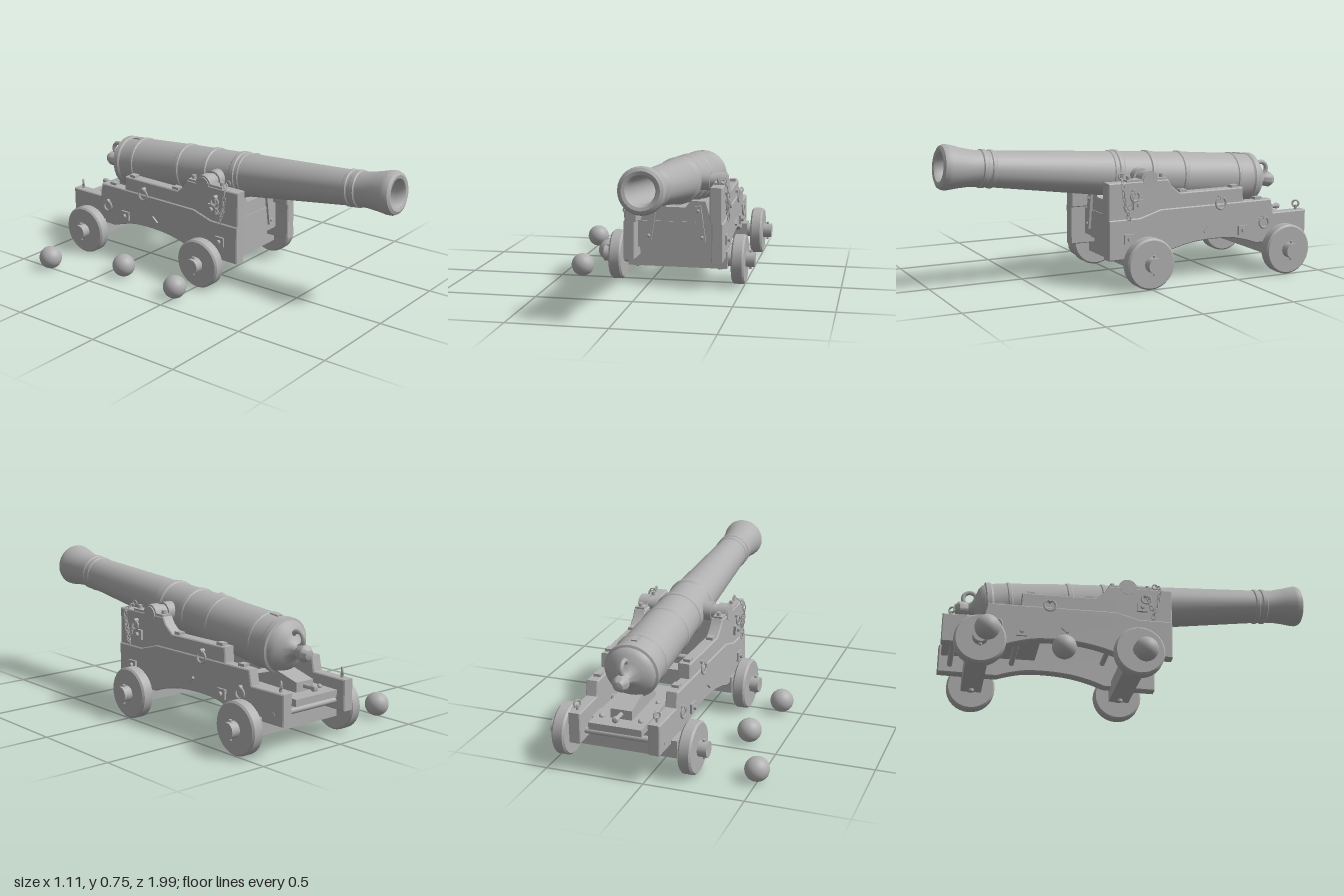
import * as THREE from 'three';
import { toCreasedNormals } from 'three/addons/utils/BufferGeometryUtils.js';

const MID = 0.145; // x of the gun's centre line
const grey = new THREE.MeshStandardMaterial({ color: 0xb0b0b0 });
grey.name = 'plain grey';

function add(parent, name, geo, x = 0, y = 0, z = 0) {
  const m = new THREE.Mesh(geo, grey);
  m.name = name;
  m.position.set(x, y, z);
  parent.add(m);
  return m;
}
const box = (w, h, d) => new THREE.BoxGeometry(w, h, d);
const rod = (r, len, seg = 16) => new THREE.CylinderGeometry(r, r, len, seg).rotateZ(Math.PI / 2);
const vecs = (pts) => pts.map(([a, b]) => new THREE.Vector2(a, b));

// lathe whose axis runs along z
const turned = (pts, seg) =>
  toCreasedNormals(new THREE.LatheGeometry(vecs(pts), seg).rotateX(Math.PI / 2), 0.6);

// plate drawn in (z, y), centred on x
function plate(shape, thickness, bevel = 0) {
  const geo = new THREE.ExtrudeGeometry(shape, {
    depth: thickness - 2 * bevel, bevelEnabled: bevel > 0, bevelSize: bevel,
    bevelOffset: -bevel, bevelThickness: bevel, bevelSegments: 1, curveSegments: 10,
  });
  geo.translate(0, 0, bevel - thickness / 2).rotateY(-Math.PI / 2);
  return toCreasedNormals(geo, 0.5);
}

function barrel(parent) {
  const gun = new THREE.Group();
  gun.name = 'barrelAssembly';
  gun.position.set(MID, 0.535, -0.04);
  gun.rotation.x = -0.1;
  parent.add(gun);
  // knob, breech dome, rings, chase, flared muzzle and bore
  add(gun, 'barrel', turned([
    [0, -0.9], [0.025, -0.892], [0.041, -0.868], [0.038, -0.84], [0.028, -0.822], [0.04, -0.8],
    [0.075, -0.78], [0.105, -0.765], [0.125, -0.745], [0.128, -0.735], [0.14, -0.73], [0.14, -0.705],
    [0.133, -0.695], [0.135, -0.62], [0.139, -0.615], [0.139, -0.6], [0.134, -0.595],
    [0.129, -0.3], [0.133, -0.295], [0.133, -0.275], [0.128, -0.27],
    [0.123, -0.11], [0.128, -0.105], [0.128, -0.085], [0.122, -0.08],
    [0.117, 0.07], [0.124, 0.08], [0.124, 0.1], [0.119, 0.105], [0.119, 0.125], [0.115, 0.13],
    [0.091, 0.755], [0.096, 0.76], [0.096, 0.775], [0.091, 0.78], [0.091, 0.795], [0.096, 0.8],
    [0.096, 0.82], [0.09, 0.825], [0.091, 0.87], [0.1, 0.93], [0.111, 0.985], [0.112, 1.005],
    [0.105, 1.022], [0.09, 1.03], [0.074, 1.026], [0.066, 1.012], [0.064, 0.98], [0.064, 0.4], [0, 0.4],
  ], 28));
  add(gun, 'trunnions', rod(0.04, 0.5, 20));
  for (const s of [-1, 1]) add(gun, 'trunnionShoulder', rod(0.05, 0.07, 20), s * 0.125);
  const loop = add(gun, 'breechLoop', new THREE.TorusGeometry(0.036, 0.012, 8, 18), 0, 0.058, -0.81);
  loop.rotation.y = Math.PI / 2;
  add(gun, 'vent', box(0.03, 0.01, 0.05), 0, 0.134, -0.65);
}

// interlocking links along a curve
function chain(parent, pts, count) {
  const curve = new THREE.CatmullRomCurve3(pts.map((p) => new THREE.Vector3(...p)));
  const up = new THREE.Vector3(0, 1, 0);
  for (let i = 0; i < count; i++) {
    const t = (i + 0.5) / count;
    const p = curve.getPointAt(t);
    const geo = new THREE.TorusGeometry(0.009, 0.003, 5, 10).scale(1, 1.6, 1).rotateY(i % 2 ? 0.3 : 1.87);
    const link = add(parent, 'chainLink', geo, p.x, p.y, p.z);
    link.quaternion.setFromUnitVectors(up, curve.getTangentAt(t));
  }
}

// s is the side; x = 0 here is the outer face of the cheek
function cheek(parent, s) {
  const side = new THREE.Group();
  side.name = s > 0 ? 'leftCheek' : 'rightCheek';
  side.position.x = MID + s * 0.256;
  side.rotation.y = s * 0.025;
  parent.add(side);

  const lower = new THREE.Shape(vecs([
    [-0.68, 0.155], [-0.995, 0.155], [-0.995, 0.31], [-0.785, 0.31], [-0.77, 0.385], [-0.1, 0.385],
    [0.02, 0.35], [0.195, 0.35], [0.195, 0.145], [-0.09, 0.145],
  ]));
  lower.splineThru(vecs([[-0.17, 0.172], [-0.28, 0.195], [-0.4, 0.203], [-0.52, 0.198], [-0.61, 0.178], [-0.68, 0.155]]));
  add(side, 'lowerCheek', plate(lower, 0.06, 0.005), -s * 0.03);

  const upper = new THREE.Shape(vecs([
    [0.195, 0.345], [0.195, 0.535], [-0.145, 0.535], [-0.165, 0.5], [-0.215, 0.46],
    [-0.595, 0.46], [-0.6, 0.38], [-0.1, 0.38], [0.02, 0.345],
  ]));
  add(side, 'upperCheek', plate(upper, 0.064, 0.005), -s * 0.039);

  // strap over the trunnion
  const cap = new THREE.Shape(vecs([[0.09, 0.53], [0.09, 0.545], [0.01, 0.545]]));
  cap.absarc(-0.04, 0.535, 0.049, 0.2, Math.PI - 0.2, false);
  cap.lineTo(-0.14, 0.545);
  cap.lineTo(-0.14, 0.53);
  add(side, 'trunnionCap', plate(cap, 0.05), -s * 0.036);
  for (const z of [0.07, -0.12]) {
    add(side, 'capBolt', new THREE.CylinderGeometry(0.012, 0.012, 0.02, 8), -s * 0.036, 0.553, z);
  }
  const keyRing = add(side, 'capRing', new THREE.TorusGeometry(0.014, 0.004, 6, 12), -s * 0.036, 0.565, 0.11);
  keyRing.rotation.y = Math.PI / 2;
  for (const [z, y] of [[-0.24, 0.46], [-0.55, 0.46], [-0.7, 0.385]]) {
    add(side, 'topBolt', box(0.035, 0.016, 0.04), -s * 0.035, y + 0.006, z);
  }

  // bolt plates and rings on the outer face
  for (const [z, y] of [[0.085, 0.25], [0.035, 0.42], [-0.59, 0.235]]) {
    add(side, 'boltPlate', box(0.014, 0.05, 0.055), s * 0.004, y, z);
    add(side, 'boltHead', rod(0.012, 0.03, 8), s * 0.01, y, z);
  }
  for (const [z, y, r] of [[-0.45, 0.39, 0.03], [0.055, 0.465, 0.024], [-0.72, 0.265, 0.028]]) {
    const ring = add(side, 'sideRing', new THREE.TorusGeometry(r, 0.006, 6, 16), s * 0.01, y, z);
    ring.rotation.y = Math.PI / 2;
    add(side, 'ringBolt', rod(0.011, 0.03, 8), s * 0.004, y + r, z);
  }
  const slot = add(side, 'pinHead', box(0.014, 0.012, 0.045), s * 0.004, 0.26, -0.37);
  slot.rotation.x = 0.7;

  // upright eye at the tail
  add(side, 'tailEyePost', new THREE.CylinderGeometry(0.008, 0.008, 0.03, 8), -s * 0.03, 0.318, -0.95);
  const eye = add(side, 'tailEye', new THREE.TorusGeometry(0.017, 0.005, 6, 14), -s * 0.03, 0.342, -0.95);
  eye.rotation.y = 0.9;

  // hanging chains
  chain(side, [[-s * 0.02, 0.565, 0.11], [s * 0.012, 0.53, 0.125], [s * 0.014, 0.44, 0.115], [s * 0.016, 0.35, 0.09]], 9);
  chain(side, [[s * 0.01, 0.49, 0.055], [s * 0.015, 0.42, 0.08], [s * 0.014, 0.39, 0.1], [s * 0.012, 0.47, 0.118]], 6);
}

function axle(parent, z) {
  const g = new THREE.Group();
  g.name = z > -0.4 ? 'frontAxle' : 'rearAxle';
  g.position.set(MID, 0.132, z);
  parent.add(g);
  add(g, 'axleBeam', box(0.53, 0.09, 0.11));
  add(g, 'axleSpindle', rod(0.04, 0.81, 16));
  const wheel = turned([[0, -0.033], [0.122, -0.033], [0.131, -0.024], [0.131, 0.024], [0.122, 0.033], [0, 0.033]], 32)
    .rotateY(Math.PI / 2);
  for (const s of [-1, 1]) {
    add(g, 'wheel', wheel, s * 0.325);
    add(g, 'linchpin', new THREE.CylinderGeometry(0.008, 0.008, 0.1, 8), s * 0.382);
    add(g, 'underBolt', new THREE.CylinderGeometry(0.014, 0.014, 0.02, 8), s * 0.22, -0.05);
    // seam and pins on the wheel face
    const seam = add(g, 'wheelSeam', box(0.004, 0.004, 0.25), s * 0.332);
    seam.rotation.x = 1.1;
    for (const a of [0.4, 2.7]) {
      add(g, 'wheelPin', rod(0.009, 0.006, 8), s * 0.334, 0.09 * Math.sin(a), 0.09 * Math.cos(a));
    }
  }
}

function bed(parent) {
  // front boards between the cheeks
  add(parent, 'lowerTransom', box(0.4, 0.14, 0.05), MID, 0.27, 0.09);
  const top = new THREE.Shape(vecs([[-0.19, 0.33], [0.19, 0.33], [0.155, 0.45], [0.08, 0.45], [0.05, 0.415], [-0.05, 0.415], [-0.08, 0.45], [-0.155, 0.45]]));
  add(parent, 'upperTransom', new THREE.ExtrudeGeometry(top, { depth: 0.05, bevelEnabled: false }), MID, 0, 0.06);
  add(parent, 'transomSill', box(0.4, 0.025, 0.04), MID, 0.19, 0.06);
  for (const s of [-1, 1]) {
    const strap = new THREE.Group();
    strap.name = 'transomStrap';
    strap.position.set(MID + s * 0.13, 0.332, 0.12);
    strap.rotation.z = s * 0.15;
    parent.add(strap);
    add(strap, 'strapPlate', box(0.035, 0.19, 0.015));
    for (const y of [-0.07, 0.07]) add(strap, 'strapBolt', new THREE.SphereGeometry(0.01, 8, 6), 0, y, 0.007);
  }
  // sloping bed plank, tail board and cross rods
  const plank = add(parent, 'bedPlank', box(0.27, 0.035, 0.5), MID, 0.255, -0.73);
  plank.rotation.x = -0.02;
  add(parent, 'rearTransom', box(0.39, 0.06, 0.1), MID, 0.205, -0.8);
  for (const [z, y] of [[-0.6, 0.235], [-0.93, 0.2], [-0.1, 0.28]]) add(parent, 'crossRod', rod(0.015, 0.47, 10), MID, y, z);
  for (const s of [-1, 1]) {
    for (const z of [-0.9, -0.68]) add(parent, 'plankBolt', new THREE.SphereGeometry(0.014, 8, 6), MID + s * 0.1, 0.273, z);
  }
  // elevating wedge with its handle
  const wedge = new THREE.Shape(vecs([[-0.9, 0.27], [-0.9, 0.318], [-0.77, 0.352], [-0.6, 0.3], [-0.6, 0.27]]));
  add(parent, 'wedge', plate(wedge, 0.11), MID);
  const handle = [[0, -0.06], [0.014, -0.055], [0.017, -0.04], [0.01, -0.02], [0.012, 0.03], [0, 0.03]];
  add(parent, 'wedgeHandle', turned(handle, 12), MID, 0.295, -0.92);
}

export function createModel() {
  const model = new THREE.Group();
  model.name = 'cannon';
  barrel(model);
  for (const s of [-1, 1]) cheek(model, s);
  for (const z of [0.005, -0.805]) axle(model, z);
  bed(model);
  // loose shot on the ground
  for (const [x, z] of [[-0.495, -0.79], [-0.333, -0.4], [-0.385, 0]]) {
    add(model, 'shot', new THREE.SphereGeometry(0.061, 24, 16), x, 0.063, z);
  }
  return model;
}
